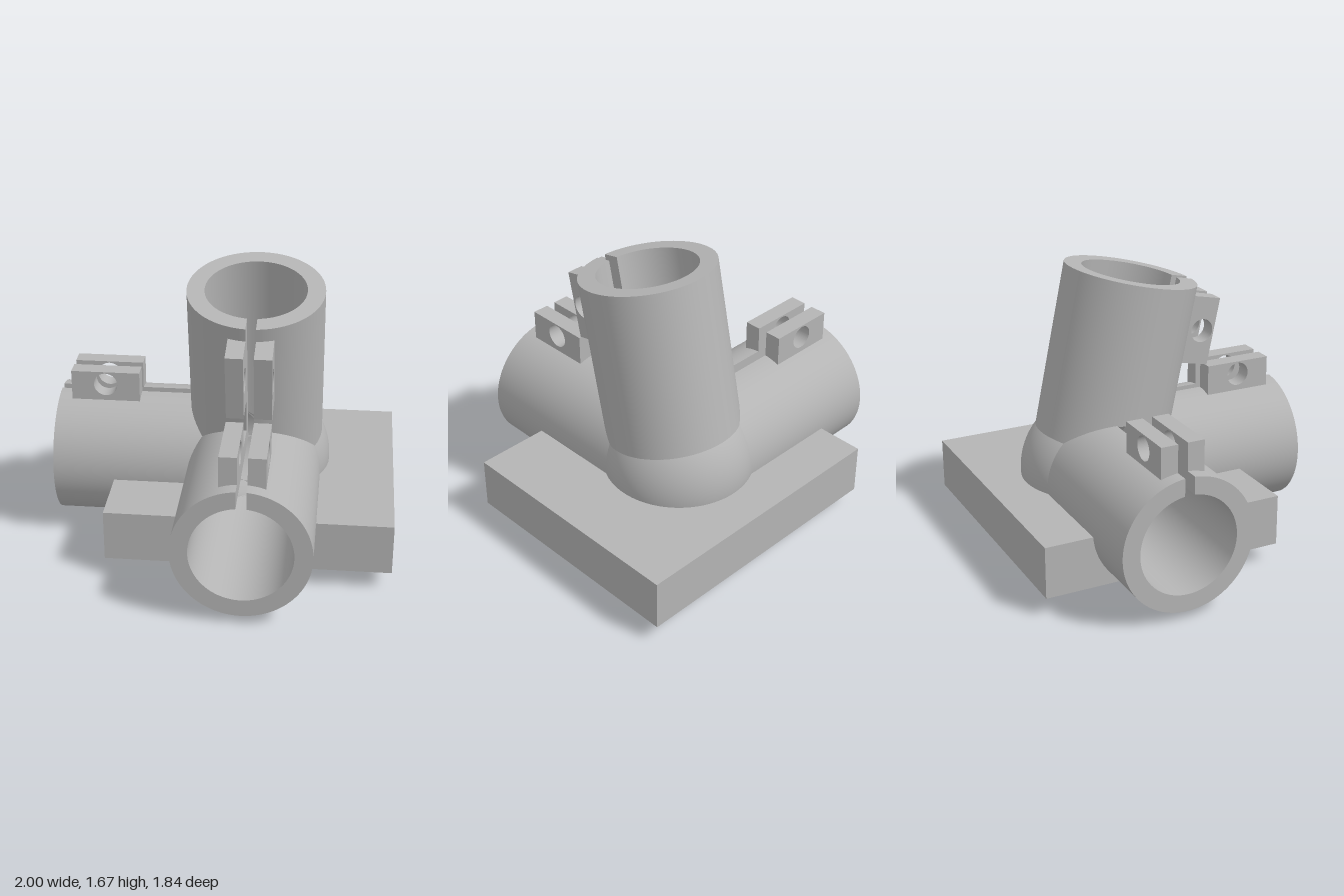
import * as THREE from 'three';

const R = 0.388, BORE = 0.287, LENGTH = 1.177, BORE_BACK = -0.108, GAP = 0.0285, BALL = 0.4365;
const CENTRE = new THREE.Vector3(0.177, 0.4365, -0.208);
const TILT = THREE.MathUtils.degToRad(12);
const lerp = THREE.MathUtils.lerp;

const metal = new THREE.MeshStandardMaterial({ color: 0xb4b4b4, side: THREE.DoubleSide });
metal.name = 'light grey';

// Each socket: direction of its axis, and the side its clamp slit opens on
const SOCKETS = [
  { name: 'sideSocket', axis: new THREE.Vector3(-1, 0, 0), up: new THREE.Vector3(0, 1, 0) },
  { name: 'frontSocket', axis: new THREE.Vector3(0, 0, 1), up: new THREE.Vector3(0, 1, 0) },
  {
    name: 'uprightSocket',
    axis: new THREE.Vector3(0, Math.cos(TILT), Math.sin(TILT)),
    up: new THREE.Vector3(0, -Math.sin(TILT), Math.cos(TILT)),
  },
];

function inCylinder(p, axis, radius, from) {
  const t = p.dot(axis);
  return t > from && p.lengthSq() - t * t < radius * radius;
}

// Walks back along v = 1..0 and returns where the path enters the removed volume
function trim(pointAt, inside) {
  const steps = 100;
  for (let i = steps; i >= 0; i--) {
    if (!inside(pointAt(i / steps))) continue;
    let lo = i / steps, hi = Math.min(1, (i + 1) / steps);
    for (let k = 0; k < 14; k++) {
      const mid = (lo + hi) / 2;
      if (inside(pointAt(mid))) lo = mid; else hi = mid;
    }
    return hi;
  }
  return 0;
}

// Grid surface from a function (u, v) -> [x, y, z]
function surface(name, fn, nu, nv) {
  const pos = [], index = [];
  for (let i = 0; i <= nu; i++)
    for (let j = 0; j <= nv; j++) pos.push(...fn(i / nu, j / nv));
  for (let i = 0; i < nu; i++)
    for (let j = 0; j < nv; j++) {
      const a = i * (nv + 1) + j, b = a + nv + 1;
      index.push(a, b, b + 1, a, b + 1, a + 1);
    }
  const g = new THREE.BufferGeometry();
  g.setAttribute('position', new THREE.Float32BufferAttribute(pos, 3));
  g.setIndex(index);
  g.computeVertexNormals();
  return part(name, g);
}

function part(name, geometry) {
  const m = new THREE.Mesh(geometry, metal);
  m.name = name;
  return m;
}

function makeSocket(socket) {
  const group = new THREE.Group();
  group.name = socket.name;
  const side = new THREE.Vector3().crossVectors(socket.up, socket.axis);
  const basis = new THREE.Matrix4().makeBasis(side, socket.up, socket.axis);
  group.quaternion.setFromRotationMatrix(basis);

  const others = SOCKETS.filter((s) => s !== socket);
  const at = (rad, a, t) => [rad * Math.sin(a), rad * Math.cos(a), t];
  const world = (p) => new THREE.Vector3(...p).applyMatrix4(basis);
  const inBores = (p) => others.some((s) => inCylinder(p, s.axis, BORE - 0.002, BORE_BACK));
  const inBodies = (p) => p.length() < BALL - 0.005 ||
    others.some((s) => inCylinder(p, s.axis, R - 0.008, 0));

  // Where the outer wall and the bore wall begin at a given angle
  const outerStart = (a) => lerp(0, LENGTH, trim((v) => world(at(R, a, v * LENGTH)), inBodies));
  const boreStart = (a) => lerp(BORE_BACK, LENGTH,
    trim((v) => world(at(BORE, a, lerp(BORE_BACK, LENGTH, v))), inBores));

  const ho = Math.asin(GAP / R), hi = Math.asin(GAP / BORE), full = Math.PI * 2;
  const outerAngle = (u) => lerp(ho, full - ho, u), boreAngle = (u) => lerp(hi, full - hi, u);

  group.add(surface('outerWall', (u, v) => {
    const a = outerAngle(1 - u);
    return at(R, a, lerp(outerStart(a), LENGTH, v));
  }, 120, 1));
  group.add(surface('boreWall', (u, v) => {
    const a = boreAngle(u);
    return at(BORE, a, lerp(boreStart(a), LENGTH, v));
  }, 120, 1));
  group.add(surface('rim', (u, v) =>
    at(lerp(BORE, R, v), lerp(boreAngle(u), outerAngle(u), v), LENGTH), 120, 1));
  // Remaining part of the flat bore bottom
  group.add(surface('boreBottom', (u, v) => {
    const a = u * full;
    const start = trim((k) => world(at(k * BORE, a, BORE_BACK)), inBores);
    return at(BORE * lerp(start, 1, v), a, BORE_BACK);
  }, 120, 1));

  // Clamp slit faces
  const so = outerStart(ho), si = boreStart(hi);
  for (const s of [1, -1])
    group.add(surface('slitFace', (u, v) => {
      const k = s > 0 ? u : 1 - u;
      return at(lerp(BORE, R, v), s * lerp(hi, ho, v), lerp(lerp(si, so, v), LENGTH, k));
    }, 1, 1));
  if (socket === SOCKETS[0])
    group.add(surface('slitEnd', (u, v) =>
      at(lerp(BORE, R, v), lerp(-1, 1, u) * lerp(hi, ho, v), lerp(si, so, v)), 1, 1));

  // Pair of clamp lugs with bolt holes
  const shape = new THREE.Shape([[0.692, 0.335], [1.097, 0.335], [1.097, 0.547], [0.692, 0.547]]
    .map((p) => new THREE.Vector2(...p)));
  shape.holes.push(new THREE.Path().absarc(0.8945, 0.468, 0.07, 0, full, true));
  const thick = 0.127 - GAP;
  for (const x of [-GAP, GAP + thick]) {
    const g = new THREE.ExtrudeGeometry(shape, { depth: thick, bevelEnabled: false, curveSegments: 32 });
    g.rotateY(-Math.PI / 2).translate(x, 0, 0);
    group.add(part('clampLug', g));
  }
  return group;
}

// Ball joint, left open where the sockets leave it
function makeBall() {
  const g = new THREE.SphereGeometry(BALL, 120, 80);
  const pos = g.attributes.position, idx = g.index.array, keep = [];
  for (let i = 0; i < idx.length; i += 3) {
    const c = new THREE.Vector3();
    for (let k = 0; k < 3; k++) c.add(new THREE.Vector3().fromBufferAttribute(pos, idx[i + k]));
    c.divideScalar(3);
    if (!SOCKETS.some((s) => inCylinder(c, s.axis, 0.345, 0))) keep.push(idx[i], idx[i + 1], idx[i + 2]);
  }
  g.setIndex(keep);
  return part('ballJoint', g);
}

// Base plate layer with channels that leave the bores clear
function makePlateLayer(top, bottom, w, round) {
  const x0 = -0.817, x1 = 0.823, z0 = -0.667, z1 = 0.768;
  const q = Math.sqrt(round * round - w * w);
  const main = new THREE.Shape();
  main.moveTo(x0, z0).lineTo(x1, z0).lineTo(x1, z1).lineTo(w, z1).lineTo(w, q);
  main.absarc(0, 0, round, Math.atan2(q, w), Math.atan2(-w, -q), true);
  main.lineTo(x0, -w).closePath();
  const corner = new THREE.Shape();
  corner.moveTo(x0, w).lineTo(-w, w).lineTo(-w, z1).lineTo(x0, z1).closePath();
  const g = new THREE.ExtrudeGeometry([main, corner],
    { depth: top - bottom, bevelEnabled: false, curveSegments: 32 });
  g.rotateX(Math.PI / 2).translate(0, top, 0);
  return part('basePlate', g);
}

export function createModel() {
  const model = new THREE.Group();
  model.name = 'tubeCornerBracket';
  const body = new THREE.Group();
  body.name = 'body';
  body.position.copy(CENTRE);
  body.add(makeBall(), ...SOCKETS.map(makeSocket));
  body.add(makePlateLayer(-0.0265, -0.2, 0.325, 0.355));
  body.add(makePlateLayer(-0.2, -0.3275, 0.2065, 0.26));
  model.add(body);
  return model;
}
